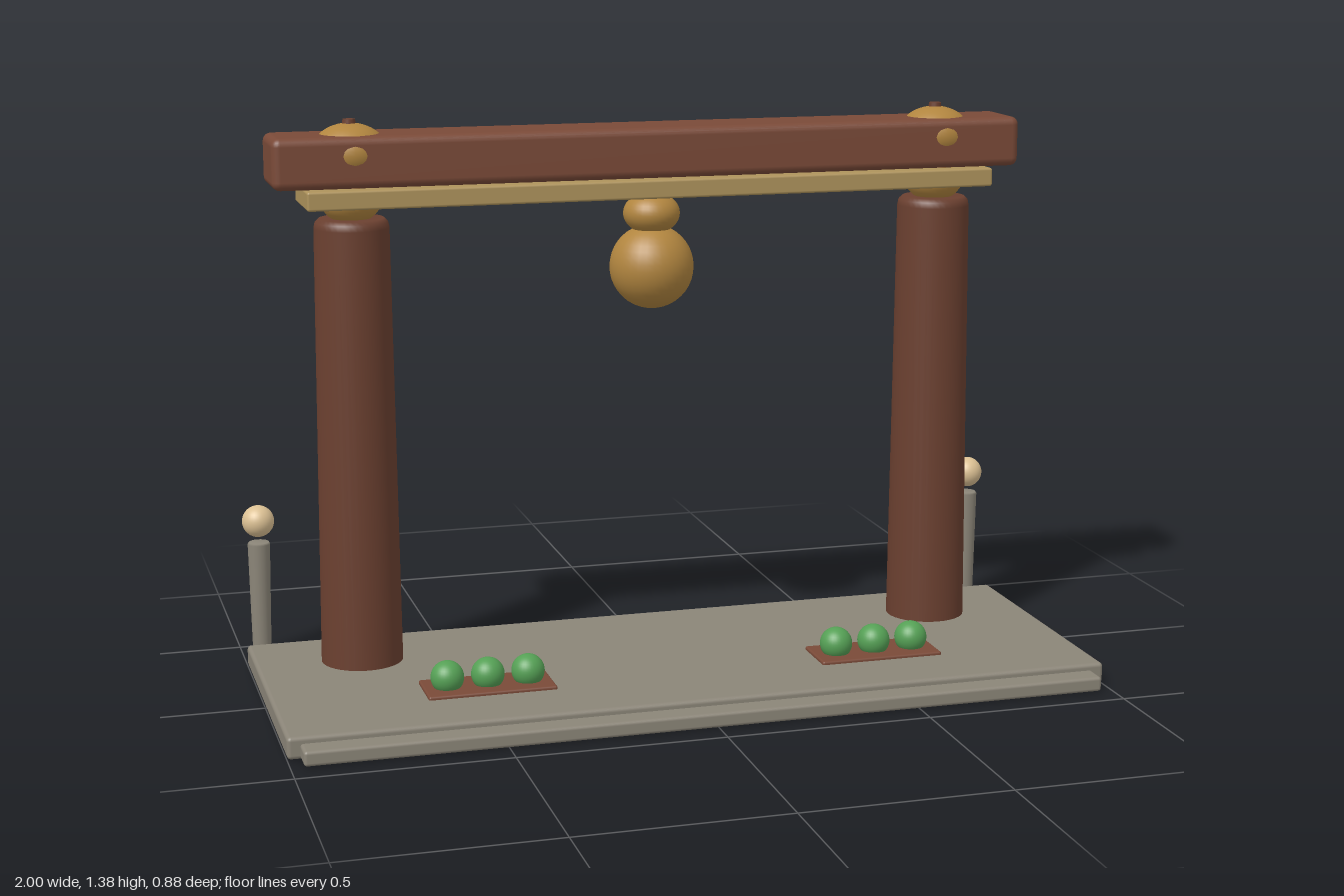
import * as THREE from 'three';
import { RoundedBoxGeometry } from 'three/addons/geometries/RoundedBoxGeometry.js';

const mat = (color) => new THREE.MeshStandardMaterial({ color });

export function createModel() {
  const model = new THREE.Group();
  const stone = mat(0x8b8578), wood = mat(0x7a4a38), bark = mat(0x6b4030), gold = mat(0xb1853f);
  const plank = mat(0xae935c), green = mat(0x55a055), cream = mat(0xdcc194);

  const add = (name, geometry, material, x, y, z) => {
    const mesh = new THREE.Mesh(geometry, material);
    mesh.name = name;
    mesh.position.set(x, y, z);
    model.add(mesh);
    return mesh;
  };
  // Rounded box given by its extents
  const box = (name, material, x0, x1, y0, y1, z0, z1, r) =>
    add(name, new RoundedBoxGeometry(x1 - x0, y1 - y0, z1 - z0, 3, r), material,
      (x0 + x1) / 2, (y0 + y1) / 2, (z0 + z1) / 2);
  // Sphere or squashed sphere
  const ball = (name, material, x, y, z, r, ry = r) => {
    const mesh = add(name, new THREE.SphereGeometry(r, 32, 20), material, x, y, z);
    mesh.scale.y = ry / r;
    return mesh;
  };

  // Platform and front step
  box('platform', stone, -1, 1, 0.005, 0.058, -0.343, 0.383, 0.01);
  box('frontStep', stone, -0.97, 0.97, 0.006, 0.042, 0.3, 0.44, 0.008);
  add('undersidePlate', new THREE.BoxGeometry(0.8, 0.012, 0.16), plank, 0, 0.01, -0.09);

  // Crossbeam with the flat board under it
  box('crossbeam', wood, -0.935, 0.935, 1.23, 1.353, -0.241, -0.065, 0.02);
  box('underBoard', plank, -0.858, 0.858, 1.183, 1.229, -0.252, -0.05, 0.006);

  // Hanging bell
  ball('bellNeck', gold, 0, 1.136, -0.15, 0.07, 0.052);
  ball('bell', gold, 0, 1.004, -0.15, 0.104);

  // Tapered pillar profile with softened rims
  const pillarProfile = [[0, 0], [0.092, 0], [0.1, 0.012], [0.09, 1.125], [0.087, 1.139], [0.078, 1.148], [0, 1.148]]
    .map(([x, y]) => new THREE.Vector2(x, y));
  const postProfile = [[0, 0], [0.02, 0], [0.023, 0.005], [0.028, 0.297], [0.025, 0.302], [0, 0.302]]
    .map(([x, y]) => new THREE.Vector2(x, y));

  for (const side of [-1, 1]) {
    const px = side * 0.74;
    add('pillar', new THREE.LatheGeometry(pillarProfile, 36), bark, px, 0.004, -0.152);
    // Gold fittings under and over the beam
    ball('pillarCollar', gold, px, 1.2, -0.152, 0.075, 0.062);
    ball('beamCap', gold, px, 1.308, -0.152, 0.092, 0.07);
    add('capPin', new THREE.CylinderGeometry(0.015, 0.018, 0.03, 16), bark, px, 1.372, -0.152);

    // Rear lamp post
    add('lampPost', new THREE.LatheGeometry(postProfile, 20), stone, side * 0.955, 0.004, -0.403);
    ball('lamp', cream, side * 0.955, 0.36, -0.403, 0.04);

    // Tray with three fruits
    const tx = side * 0.488;
    box('tray', wood, tx - 0.155, tx + 0.155, 0.02, 0.066, 0.075, 0.212, 0.005);
    for (const i of [-1, 0, 1]) ball('fruit', green, tx + i * 0.098, 0.09, 0.144, 0.04);
  }
  return model;
}
